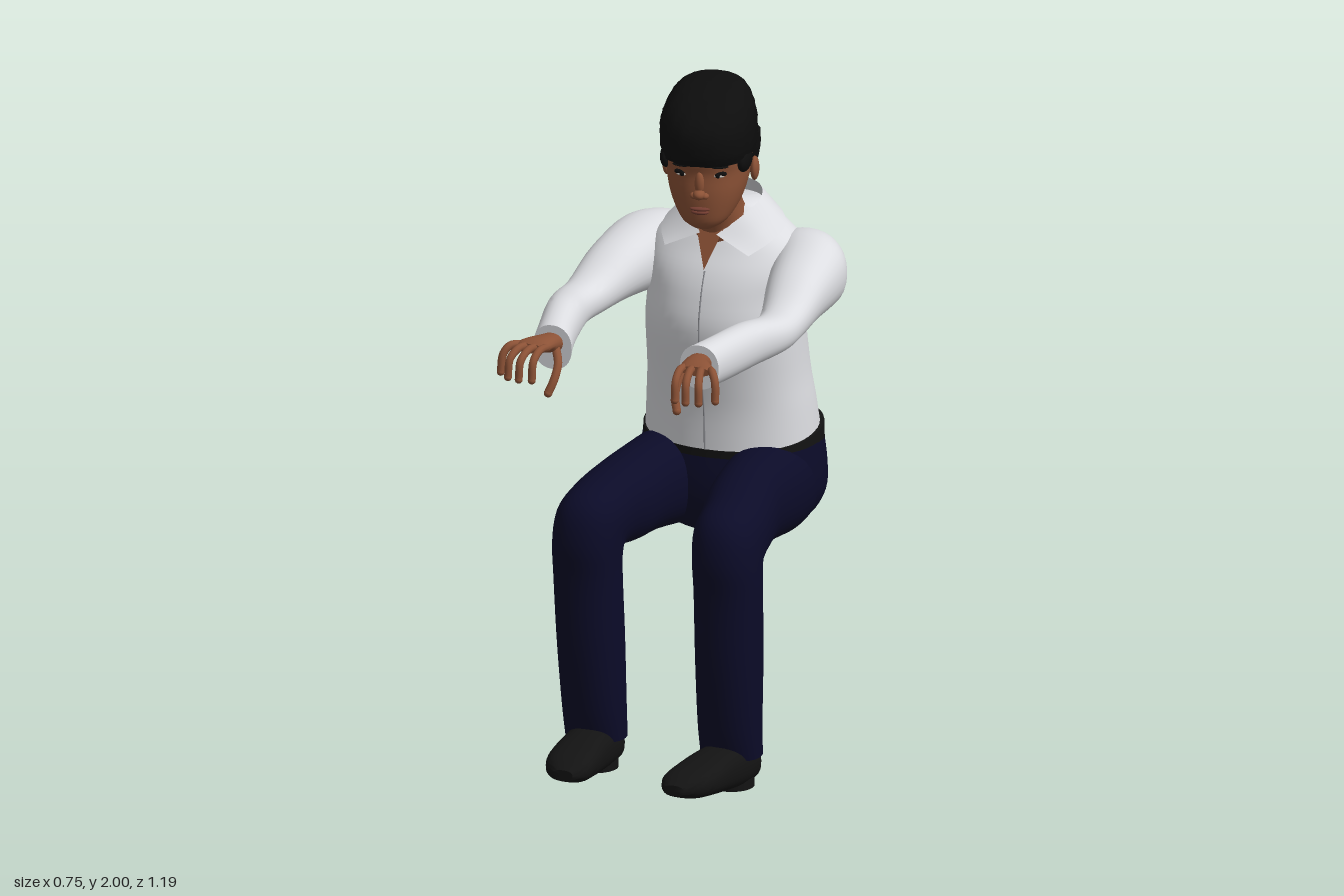
import * as THREE from 'three';
import { toCreasedNormals } from 'three/addons/utils/BufferGeometryUtils.js';

const mat = (name, color, side = THREE.FrontSide) => new THREE.MeshStandardMaterial({ name, color, side });
const V = (x, y, z) => new THREE.Vector3(x, y, z);
const FLAT = Math.PI / 2; // section lying level

const catmull = (a, b, c, d, t) =>
  0.5 * (2 * b + (c - a) * t + (2 * a - 5 * b + 4 * c - d) * t * t + (3 * b - a - 3 * c + d) * t * t * t);

// Closed skin over rounded sections [x, y, z, halfWidth, halfThickness, angle in the yz plane]
function loft(rows, { s = 1, power = 2.2, segs = 32, sub = 4, rough = 0 } = {}) {
  const rings = [];
  const at = (i) => rows[Math.min(Math.max(i, 0), rows.length - 1)];
  for (let i = 0; i < rows.length - 1; i++) {
    for (let k = 0; k < sub; k++) {
      rings.push(at(i).map((_, n) => catmull(at(i - 1)[n], at(i)[n], at(i + 1)[n], at(i + 2)[n], k / sub)));
    }
  }
  rings.push(rows[rows.length - 1]);
  const pos = [], idx = [];
  rings.forEach(([x, y, z, hw, ht, a], r) => {
    for (let j = 0; j < segs; j++) {
      const t = (j / segs) * Math.PI * 2, c = Math.cos(t), d = Math.sin(t);
      const bump = 1 + rough * Math.sin(j * 2.7 + r * 1.9) * Math.cos(j * 1.3 - r * 2.3);
      const p = Math.sign(c) * Math.abs(c) ** (2 / power) * hw * bump;
      const q = Math.sign(d) * Math.abs(d) ** (2 / power) * ht * bump;
      pos.push(s * x + p, y + q * Math.cos(a), z + q * Math.sin(a));
    }
  });
  const first = rings[0], last = rings[rings.length - 1], a = first[5];
  pos.push(s * first[0], first[1], first[2], s * last[0], last[1], last[2]);
  // ring axis is (0, -sin a, cos a); flip the corners if the sections run against it
  const flip = (last[2] - first[2]) * Math.cos(a) - (last[1] - first[1]) * Math.sin(a) < 0;
  const tri = (p, q, r) => (flip ? idx.push(p, r, q) : idx.push(p, q, r));
  const n = rings.length, c0 = n * segs, c1 = c0 + 1;
  for (let j = 0; j < segs; j++) {
    const k = (j + 1) % segs;
    for (let i = 0; i < n - 1; i++) {
      const A = i * segs + j, B = i * segs + k;
      tri(A, B, A + segs);
      tri(B, B + segs, A + segs);
    }
    tri(c0, k, j);
    tri(c1, (n - 1) * segs + j, (n - 1) * segs + k);
  }
  const g = new THREE.BufferGeometry();
  g.setAttribute('position', new THREE.Float32BufferAttribute(pos, 3));
  g.setIndex(idx);
  return toCreasedNormals(g, 0.9);
}

// Level sections from [y, halfWidth, frontZ, backZ]
const level = (rows) => rows.map(([y, w, f, b]) => [0, y, (f + b) / 2, w, (f - b) / 2, FLAT]);

export function createModel() {
  const model = new THREE.Group();
  model.name = 'seatedPerson';
  const shirt = mat('shirt white', 0xdcdde1, THREE.DoubleSide), trousers = mat('navy', 0x0b0b28);
  const skin = mat('skin', 0x8c5236), hair = mat('hair black', 0x0d0d0d), leather = mat('leather black', 0x131313);
  const lip = mat('lip', 0x743d31), white = mat('eye white', 0xd0c8c0), seam = mat('seam grey', 0x8c8d92);

  const add = (parent, name, geo, m) => {
    const mesh = new THREE.Mesh(geo, m);
    mesh.name = name;
    parent.add(mesh);
    return mesh;
  };
  const ball = (parent, name, m, p, r) => {
    const b = add(parent, name, new THREE.SphereGeometry(1, 20, 14), m);
    b.position.set(...p);
    b.scale.set(...r);
    return b;
  };
  const tube = (parent, name, m, pts, r) =>
    add(parent, name, new THREE.TubeGeometry(new THREE.CatmullRomCurve3(pts), 16, r, 10), m);

  // Torso and pelvis
  add(model, 'shirtBody', loft(level([
    [0.885, 0.254, -0.165, -0.585], [1.0, 0.245, -0.16, -0.56], [1.1, 0.235, -0.145, -0.54],
    [1.25, 0.23, -0.12, -0.515], [1.35, 0.225, -0.135, -0.51], [1.42, 0.235, -0.16, -0.505],
    [1.48, 0.222, -0.195, -0.493], [1.53, 0.172, -0.222, -0.475], [1.57, 0.12, -0.25, -0.45],
    [1.595, 0.095, -0.265, -0.43]]), { segs: 48 }), shirt);
  tube(model, 'shirtPlacket', seam, [V(0, 0.89, -0.165), V(0, 1.0, -0.16), V(0, 1.1, -0.145), V(0, 1.25, -0.12),
    V(0, 1.35, -0.135), V(0, 1.43, -0.165)], 0.0025);
  add(model, 'belt', loft([[0, 0.855, -0.378, 0.263, 0.216, FLAT + 0.1], [0, 0.912, -0.378, 0.261, 0.216, FLAT + 0.1]],
    { segs: 48 }), leather);
  add(model, 'trouserSeat', loft(level([
    [0.605, 0.13, -0.26, -0.5], [0.65, 0.225, -0.19, -0.565], [0.72, 0.268, -0.16, -0.595],
    [0.8, 0.272, -0.155, -0.595], [0.88, 0.262, -0.165, -0.588]]), { segs: 48 }), trousers);

  // Open neckline
  const v = new THREE.BufferGeometry();
  v.setAttribute('position', new THREE.Float32BufferAttribute(
    [0, 1.435, -0.158, 0.05, 1.57, -0.212, -0.05, 1.57, -0.212], 3));
  v.computeVertexNormals();
  add(model, 'necklineSkin', v, skin);

  // Folded collar: a strip between its top fold and its lower edge
  const mirrored = (pts) => new THREE.CatmullRomCurve3([
    ...pts.map(([x, y, z]) => V(-x, y, z)).reverse(), ...pts.slice(1).map((p) => V(...p))]);
  const fold = mirrored([[0, 1.635, -0.425], [0.07, 1.63, -0.4], [0.105, 1.615, -0.33], [0.085, 1.585, -0.25],
    [0.025, 1.535, -0.19]]);
  const edge = mirrored([[0, 1.57, -0.465], [0.1, 1.565, -0.44], [0.176, 1.54, -0.345], [0.17, 1.515, -0.25],
    [0.13, 1.487, -0.178]]);
  const collar = new THREE.PlaneGeometry(1, 1, 40, 3), cp = collar.attributes.position;
  for (let i = 0; i < cp.count; i++) {
    const t = cp.getX(i) + 0.5, p = edge.getPoint(t).lerp(fold.getPoint(t), cp.getY(i) + 0.5);
    cp.setXYZ(i, p.x, p.y, p.z);
  }
  collar.computeVertexNormals();
  add(model, 'collar', collar, shirt);

  add(model, 'neck', loft(level([[1.7, 0.075, -0.15, -0.31], [1.62, 0.07, -0.16, -0.335],
    [1.56, 0.077, -0.19, -0.38], [1.48, 0.09, -0.215, -0.4]])), skin);

  // Head, turned a little to its left
  const turn = new THREE.Group(), head = new THREE.Group();
  turn.name = 'head';
  turn.position.z = -0.2;
  turn.rotation.y = 0.2;
  head.position.z = 0.2;
  turn.add(head);
  model.add(turn);
  add(head, 'face', loft(level([
    [1.583, 0.03, -0.09, -0.15], [1.605, 0.066, -0.07, -0.21], [1.65, 0.095, -0.06, -0.28],
    [1.7, 0.112, -0.055, -0.31], [1.755, 0.121, -0.055, -0.33], [1.8, 0.124, -0.045, -0.34],
    [1.88, 0.12, -0.05, -0.34], [1.94, 0.09, -0.1, -0.31]])), skin);
  add(head, 'hairTop', loft(level([
    [1.788, 0.128, -0.034, -0.358], [1.82, 0.135, -0.017, -0.362], [1.88, 0.136, -0.016, -0.362],
    [1.93, 0.124, -0.05, -0.355], [1.97, 0.1, -0.12, -0.335], [1.99, 0.068, -0.18, -0.31],
    [1.998, 0.03, -0.22, -0.28]]), { segs: 48, rough: 0.02 }), hair);
  add(head, 'hairBack', loft(level([
    [1.665, 0.068, -0.25, -0.33], [1.7, 0.105, -0.225, -0.35], [1.76, 0.128, -0.2, -0.36],
    [1.83, 0.133, -0.17, -0.361]]), { segs: 48, rough: 0.015 }), hair);
  ball(head, 'noseBridge', skin, [0, 1.732, -0.056], [0.014, 0.035, 0.013]);
  ball(head, 'noseTip', skin, [0, 1.7, -0.05], [0.018, 0.015, 0.022]);
  ball(head, 'upperLip', lip, [0, 1.653, -0.063], [0.03, 0.007, 0.013]);
  ball(head, 'lowerLip', lip, [0, 1.643, -0.064], [0.026, 0.008, 0.014]);
  for (const s of [1, -1]) {
    ball(head, 'nostril', skin, [s * 0.016, 1.695, -0.056], [0.012, 0.01, 0.014]);
    ball(head, 'eyelid', hair, [s * 0.052, 1.76, -0.073], [0.025, 0.009, 0.012]);
    ball(head, 'eyeWhite', white, [s * 0.052, 1.755, -0.072], [0.019, 0.007, 0.013]);
    ball(head, 'iris', hair, [s * 0.052, 1.756, -0.064], [0.008, 0.0075, 0.007]);
    ball(head, 'eyebrow', hair, [s * 0.056, 1.782, -0.066], [0.027, 0.004, 0.012]).rotation.y = s * 0.3;
    ball(head, 'ear', skin, [s * 0.128, 1.733, -0.22], [0.013, 0.036, 0.023]);
    ball(head, 'sideburn', hair, [s * 0.112, 1.782, -0.155], [0.02, 0.036, 0.06]);
  }

  for (const s of [1, -1]) {
    const side = new THREE.Group();
    side.name = s > 0 ? 'leftLimbs' : 'rightLimbs';
    model.add(side);

    // Sleeve from the shoulder to the cuff
    add(side, 'sleeve', loft([
      [0.2, 1.42, -0.462, 0.05, 0.05, 0], [0.215, 1.415, -0.43, 0.1, 0.09, 0], [0.24, 1.408, -0.36, 0.12, 0.112, 0],
      [0.264, 1.405, -0.28, 0.108, 0.103, 0], [0.285, 1.392, -0.15, 0.09, 0.082, 0],
      [0.304, 1.362, -0.02, 0.07, 0.058, 0], [0.31, 1.358, 0.08, 0.064, 0.056, 0],
      [0.285, 1.363, 0.2, 0.06, 0.065, 0], [0.255, 1.357, 0.32, 0.057, 0.067, 0],
      [0.228, 1.352, 0.412, 0.06, 0.066, 0]], { s }), shirt);

    // Hand with drooping, spread fingers
    add(side, 'palm', loft([[0.228, 1.36, 0.38, 0.034, 0.03, 0], [0.235, 1.372, 0.44, 0.038, 0.027, 0],
      [0.252, 1.377, 0.485, 0.05, 0.021, 0], [0.256, 1.375, 0.51, 0.045, 0.014, 0]], { s, segs: 20 }), skin);
    const finger = (name, pts, r) => {
      const p = pts.map(([x, y, z]) => V(s * x, y, z));
      tube(side, name, skin, p, r);
      ball(side, name + 'Tip', skin, p[p.length - 1].toArray(), [r, r, r]);
    };
    for (let i = 0; i < 4; i++) {
      const reach = [0, 0.008, 0, -0.035][i];
      finger('finger', [[0.215 + 0.026 * i, 1.377, 0.485], [0.218 + 0.032 * i, 1.38, 0.535 + reach * 0.5],
        [0.221 + 0.036 * i, 1.357, 0.57 + reach], [0.222 + 0.037 * i, 1.305, 0.578 + reach]], 0.0115);
    }
    finger('thumb', [[0.21, 1.36, 0.43], [0.187, 1.325, 0.468], [0.188, 1.285, 0.495], [0.2, 1.248, 0.51]], 0.0125);

    // Trouser leg, bent at the knee
    add(side, 'trouserLeg', loft([
      [0.14, 0.75, -0.45, 0.115, 0.125, 0], [0.15, 0.76, -0.3, 0.125, 0.143, 0], [0.168, 0.775, -0.1, 0.11, 0.13, 0],
      [0.187, 0.768, 0.02, 0.11, 0.122, 0.05], [0.205, 0.757, 0.1, 0.104, 0.115, 0.3],
      [0.213, 0.735, 0.162, 0.1, 0.128, 0.78], [0.217, 0.68, 0.18, 0.098, 0.115, 1.25],
      [0.218, 0.6, 0.176, 0.097, 0.1, FLAT], [0.215, 0.4, 0.162, 0.095, 0.102, FLAT],
      [0.211, 0.2, 0.147, 0.092, 0.087, FLAT], [0.21, 0.095, 0.132, 0.09, 0.074, FLAT]], { s }), trousers);

    // Shoe with a slightly lifted toe
    add(side, 'shoe', loft([
      [0.212, 0.062, 0.062, 0.05, 0.045, 0], [0.212, 0.065, 0.085, 0.07, 0.06, 0], [0.21, 0.07, 0.15, 0.073, 0.065, 0],
      [0.2, 0.077, 0.25, 0.074, 0.06, 0], [0.19, 0.081, 0.35, 0.076, 0.047, 0],
      [0.18, 0.082, 0.42, 0.065, 0.036, 0], [0.172, 0.081, 0.468, 0.03, 0.016, 0]], { s, power: 2.6 }), leather);
    add(side, 'heel', new THREE.CylinderGeometry(0.066, 0.066, 0.03, 24), leather).position.set(s * 0.211, 0.015, 0.135);
  }
  return model;
}
